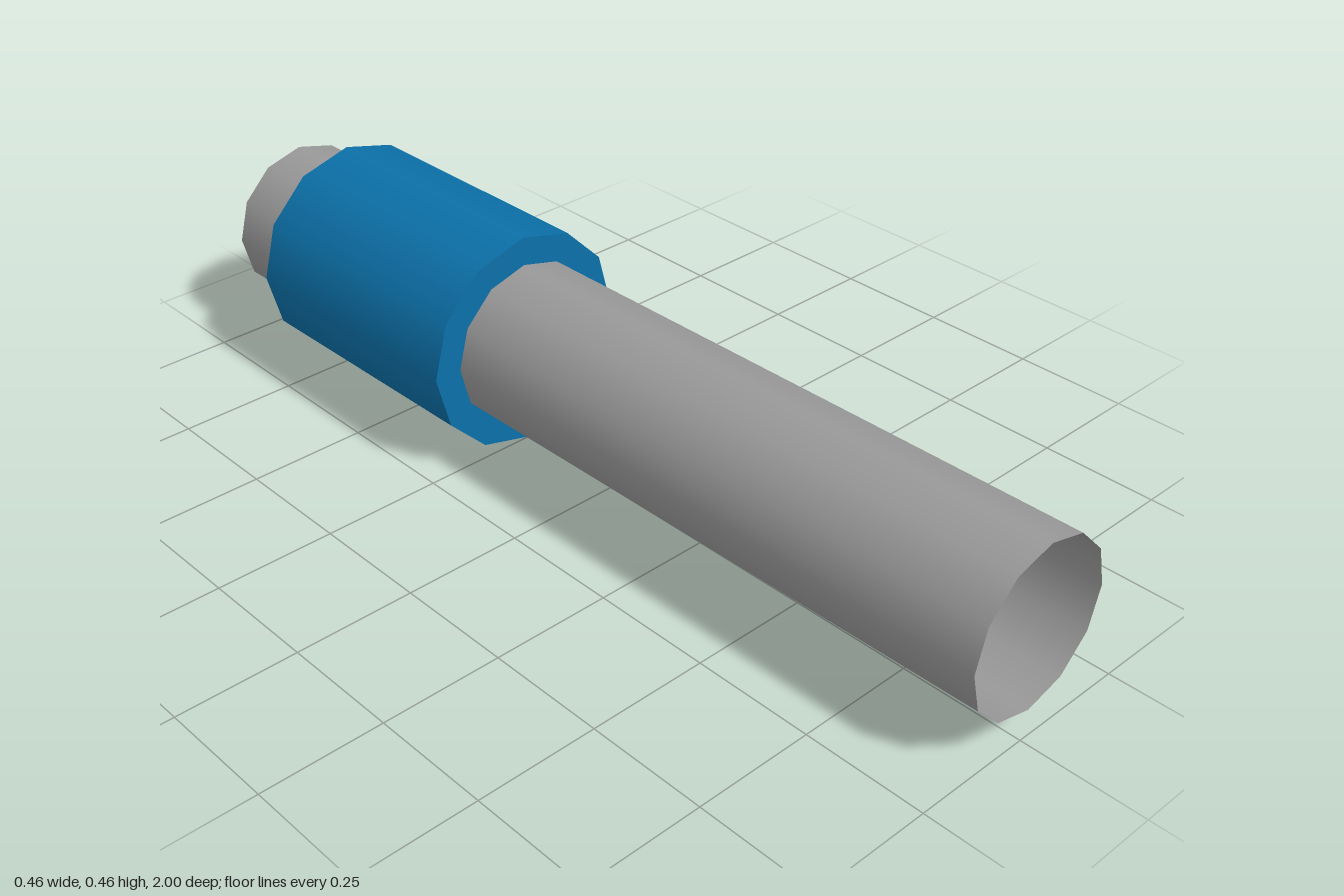
import * as THREE from 'three';

const SIDES = 12;

export function createModel() {
  const model = new THREE.Group();
  model.name = 'sleevedPipe';

  const grey = new THREE.MeshStandardMaterial({ color: 0x999999, side: THREE.DoubleSide });
  grey.name = 'pipe grey';
  const blue = new THREE.MeshStandardMaterial({ color: 0x0c70a8, side: THREE.DoubleSide });
  blue.name = 'sleeve blue';

  const add = (name, geometry, material) => {
    const mesh = new THREE.Mesh(geometry, material);
    mesh.name = name;
    model.add(mesh);
  };

  // Open twelve-sided wall along z
  const wall = (name, radius, back, front, material) => {
    const g = new THREE.CylinderGeometry(radius, radius, front - back, SIDES, 1, true);
    add(name, g.rotateX(Math.PI / 2).translate(0, 0, (front + back) / 2), material);
  };

  // Flat annulus facing +z (dir 1) or -z (dir -1)
  const ring = (name, inner, outer, z, dir, material) => {
    const g = new THREE.RingGeometry(inner, outer, SIDES);
    if (dir < 0) g.rotateY(Math.PI);
    add(name, g.translate(0, 0, z), material);
  };

  const pipeR = 0.17, boreR = 0.112, sleeveR = 0.23;
  const sleeveBack = -0.82, sleeveFront = -0.25, boreEnd = 0.5;

  // Thin pipe on either side of the sleeve
  wall('frontPipe', pipeR, sleeveFront, 1, grey);
  wall('backPipe', pipeR, -1, sleeveBack, grey);
  ring('backRim', boreR, pipeR, -1, -1, grey);

  // Narrow bore entered from the back, closed inside the pipe
  wall('bore', boreR, -1, boreEnd, grey);
  add('boreEnd', new THREE.CircleGeometry(boreR, SIDES).translate(0, 0, boreEnd), grey);

  // Thick sleeve
  wall('sleeveOuter', sleeveR, sleeveBack, sleeveFront, blue);
  wall('sleeveInner', pipeR, sleeveBack, sleeveFront, blue);
  ring('sleeveFrontFace', pipeR, sleeveR, sleeveFront, 1, blue);
  ring('sleeveBackFace', pipeR, sleeveR, sleeveBack, -1, blue);

  // Very slight turn of the whole pipe
  model.rotation.y = 0.0088;
  model.position.set(0.002, sleeveR, 0);
  return model;
}
